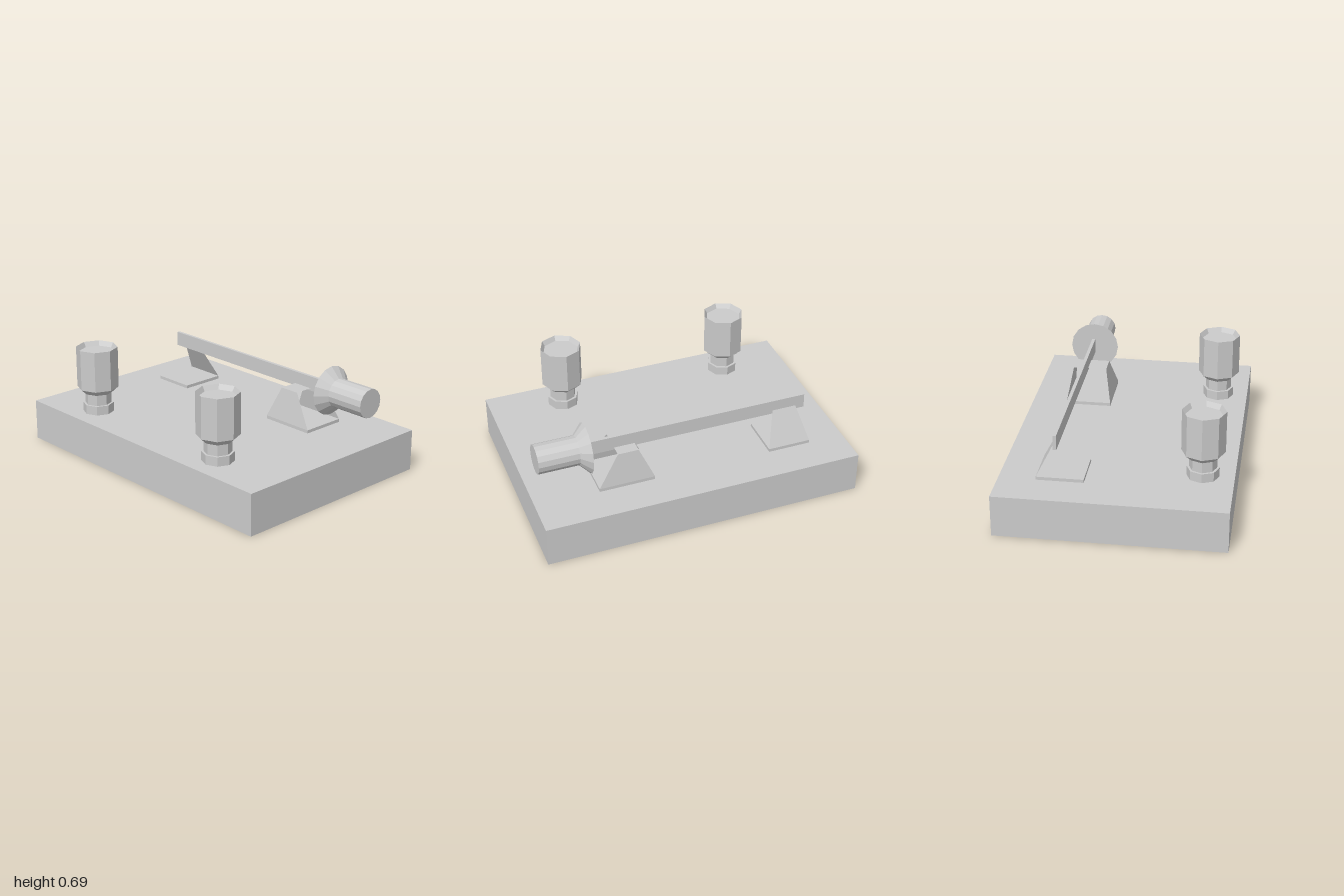
import * as THREE from 'three';

const solid = new THREE.MeshStandardMaterial({ color: 0xcccccc, flatShading: true });
const sheet = new THREE.MeshStandardMaterial({ color: 0xcccccc, flatShading: true, side: THREE.DoubleSide });

function add(parent, name, geometry, material = solid) {
  const mesh = new THREE.Mesh(geometry, material);
  mesh.name = name;
  parent.add(mesh);
  return mesh;
}

// Box given by its minimum and maximum on each axis
function slab(parent, name, [x0, x1], [y0, y1], [z0, z1]) {
  const mesh = add(parent, name, new THREE.BoxGeometry(x1 - x0, y1 - y0, z1 - z0));
  mesh.position.set((x0 + x1) / 2, (y0 + y1) / 2, (z0 + z1) / 2);
  return mesh;
}

// Bent sheet through rows that run along x: [xMin, xMax, y, z]
function bentSheet(rows) {
  const points = [];
  const index = [];
  rows.forEach(([x0, x1, y, z], i) => {
    points.push(x0, y, z, x1, y, z);
    if (i > 0) {
      const a = 2 * (i - 1);
      index.push(a, a + 2, a + 1, a + 1, a + 2, a + 3);
    }
  });
  const geometry = new THREE.BufferGeometry();
  geometry.setAttribute('position', new THREE.Float32BufferAttribute(points, 3));
  geometry.setIndex(index);
  const flat = geometry.toNonIndexed();
  flat.computeVertexNormals();
  return flat;
}

function lathe(profile, sides) {
  return new THREE.LatheGeometry(profile.map(([r, y]) => new THREE.Vector2(r, y)), sides);
}

export function createModel() {
  const model = new THREE.Group();
  model.name = 'knifeSwitch';

  slab(model, 'base', [-1, 1], [0, 0.26], [-0.69, 0.69]);

  // Terminal posts: foot nut, stem and cupped eight-sided knob
  const post = [
    [0, 0], [0.098, 0], [0.098, 0.058], [0.083, 0.058], [0.083, 0.13],
    [0.093, 0.13], [0.131, 0.165], [0.131, 0.425], [0.113, 0.395], [0, 0.395],
  ];
  for (const [name, x] of [['rightTerminal', -0.582], ['leftTerminal', 0.53]]) {
    add(model, name, lathe(post, 8)).position.set(x, 0.26, 0.5);
  }

  // Hinge: pad with one leaning plate up to the blade
  slab(model, 'hingePad', [-0.77, -0.5], [0.26, 0.28], [-0.465, -0.18]);
  add(model, 'hingePlate', bentSheet([
    [-0.77, -0.5, 0.28, -0.465],
    [-0.712, -0.56, 0.49, -0.357],
  ]), sheet);

  // Contact: pad with a folded bridge, open at both ends
  slab(model, 'contactPad', [0.25, 0.6], [0.26, 0.28], [-0.465, -0.18]);
  add(model, 'contactBridge', bentSheet([
    [0.25, 0.6, 0.28, -0.18],
    [0.34, 0.47, 0.48, -0.218],
    [0.34, 0.47, 0.48, -0.43],
    [0.25, 0.6, 0.28, -0.465],
  ]), sheet);

  slab(model, 'blade', [-0.77, 0.645], [0.465, 0.557], [-0.358, -0.337]);

  // Handle: flared guard and round grip, turned to lie along x
  const handle = add(model, 'handle', lathe(
    [[0, 0], [0.155, 0], [0.091, 0.062], [0.091, 0.315], [0, 0.315]], 16));
  handle.rotation.z = -Math.PI / 2;
  handle.position.set(0.637, 0.51, -0.34);

  return model;
}
